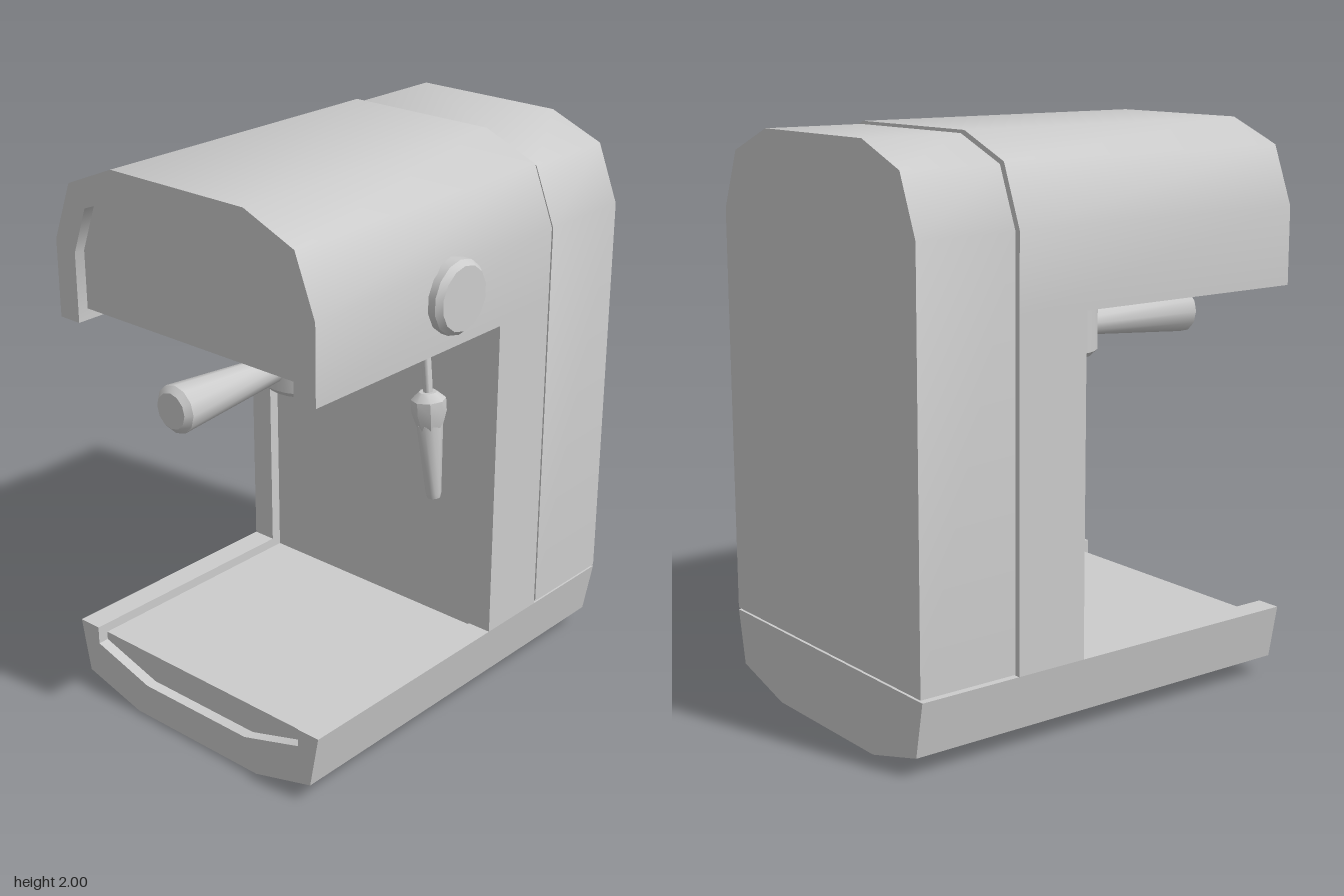
import * as THREE from 'three';
import { toCreasedNormals } from 'three/addons/utils/BufferGeometryUtils.js';

const material = new THREE.MeshStandardMaterial({ color: 0xcccccc });
const MID_Z = -0.022; // middle plane of the body

// Half outlines as [half width, y]
const outerTop = [[0.577, 1.71], [0.497, 1.915], [0.291, 2]];
const innerTop = [[0.487, 1.68], [0.425, 1.845], [0.25, 1.91]];
const outerBottom = [[0.291, 0], [0.54, 0.07], [0.577, 0.265]];
const innerBottom = [[0.24, 0.125], [0.487, 0.2]];

// Mirrors a half outline running from one side to the middle, giving an arch
const mirrored = (half) => [...half, ...half.map(([w, y]) => [-w, y]).reverse()];

function createMesh(name, geometry, crease = 0.9) {
  const mesh = new THREE.Mesh(toCreasedNormals(geometry, crease), material);
  mesh.name = name;
  return mesh;
}

// Extrudes a z-y outline along x
function prism(name, outline, x0, x1, z = MID_Z) {
  const shape = new THREE.Shape(outline.map(([w, y]) => new THREE.Vector2(w, y)));
  const geometry = new THREE.ExtrudeGeometry(shape, { depth: x1 - x0, bevelEnabled: false });
  geometry.rotateY(Math.PI / 2).translate(x0, 0, z);
  return createMesh(name, geometry);
}

// Turned part, profile as [radius, height] from bottom to top
function turned(name, profile, sides) {
  const points = profile.map(([r, y]) => new THREE.Vector2(r, y));
  return createMesh(name, new THREE.LatheGeometry(points, sides), 0.65);
}

export function createModel() {
  const model = new THREE.Group();
  model.name = 'espressoMachine';
  const front = -0.755, back = 0.8, columnFront = 0.15, columnBack = 0.42;
  const recess = 0.04;

  // Head: arched cover with a recessed core
  const arch = [
    ...mirrored([[0.577, 1.435], ...outerTop]),
    ...mirrored([[0.487, 1.435], ...innerTop]).reverse(),
  ];
  model.add(prism('headCover', arch, front, columnBack));
  model.add(prism('headCore', mirrored([[0.487, 1.435 + recess], ...innerTop]), front + recess, columnBack));

  // Column: two side walls and a recessed core
  for (const side of [-1, 1]) {
    const wall = [[0.487, 0.265], [0.577, 0.265], [0.577, 1.435], [0.487, 1.435]];
    model.add(prism('columnWall', wall.map(([w, y]) => [w * side, y]), columnFront, columnBack));
  }
  const core = mirrored([[0.487, 0.2], [0.487, 1.5]]);
  model.add(prism('columnCore', core, columnFront + recess, columnBack));

  // Base: trough with a sunken drip tray, solid below the tank
  const trough = [
    ...mirrored(outerBottom.slice().reverse()),
    ...mirrored([[0.487, 0.265], ...innerBottom.slice().reverse()]).reverse(),
  ];
  model.add(prism('baseTrough', trough, front, columnBack));
  model.add(prism('dripTray', mirrored([[0.487, 0.23], ...innerBottom.slice().reverse()]), front + recess, columnBack));
  model.add(prism('baseRear', mirrored(outerBottom.slice().reverse()), columnBack, back));

  // Water tank, separated from the body by a narrow gap
  const tank = mirrored([[0.572, 0.272], [0.572, 1.705], [0.492, 1.907], [0.288, 1.99]]);
  model.add(prism('waterTank', tank, 0.428, back, -0.017));

  // Brew group and filter holder
  const brewGroup = turned('brewGroup',
    [[0, 1.375], [0.235, 1.375], [0.27, 1.4], [0.27, 1.48], [0, 1.48]], 24);
  const filterHolder = turned('filterHolder',
    [[0, 1.175], [0.145, 1.175], [0.165, 1.195], [0.165, 1.39], [0, 1.39]], 24);
  for (const part of [brewGroup, filterHolder]) {
    part.position.set(-0.167, 0, MID_Z);
    model.add(part);
  }
  const handle = turned('filterHandle',
    [[0, 0], [0.03, 0], [0.03, 0.15], [0.047, 0.165], [0.083, 0.62], [0.083, 0.625], [0.062, 0.645], [0, 0.645]], 12);
  handle.rotation.z = Math.PI / 2;
  handle.position.set(-0.16, 1.273, -0.025);
  model.add(handle);

  // Control knob on the front
  const knob = turned('controlKnob',
    [[0, 0], [0.127, 0], [0.127, 0.085], [0.11, 0.105], [0, 0.105]], 14);
  knob.rotation.x = Math.PI / 2;
  knob.position.set(-0.108, 1.615, 0.498);
  model.add(knob);

  // Steam wand: pipe, grip and nozzle, leaning slightly outwards
  const wand = new THREE.Group();
  wand.name = 'steamWand';
  wand.add(turned('wandPipe', [[0, -0.1], [0.016, -0.1], [0.016, 0.25], [0, 0.25]], 10));
  wand.add(turned('wandGrip',
    [[0, -0.07], [0.04, -0.07], [0.058, -0.01], [0.058, 0.035], [0.03, 0.06], [0, 0.06]], 8));
  wand.add(turned('wandNozzle',
    [[0, -0.312], [0.022, -0.312], [0.026, -0.295], [0.044, -0.05], [0, -0.05]], 10));
  wand.position.set(-0.168, 1.23, 0.515);
  wand.rotation.x = -0.09;
  model.add(wand);

  return model;
}
